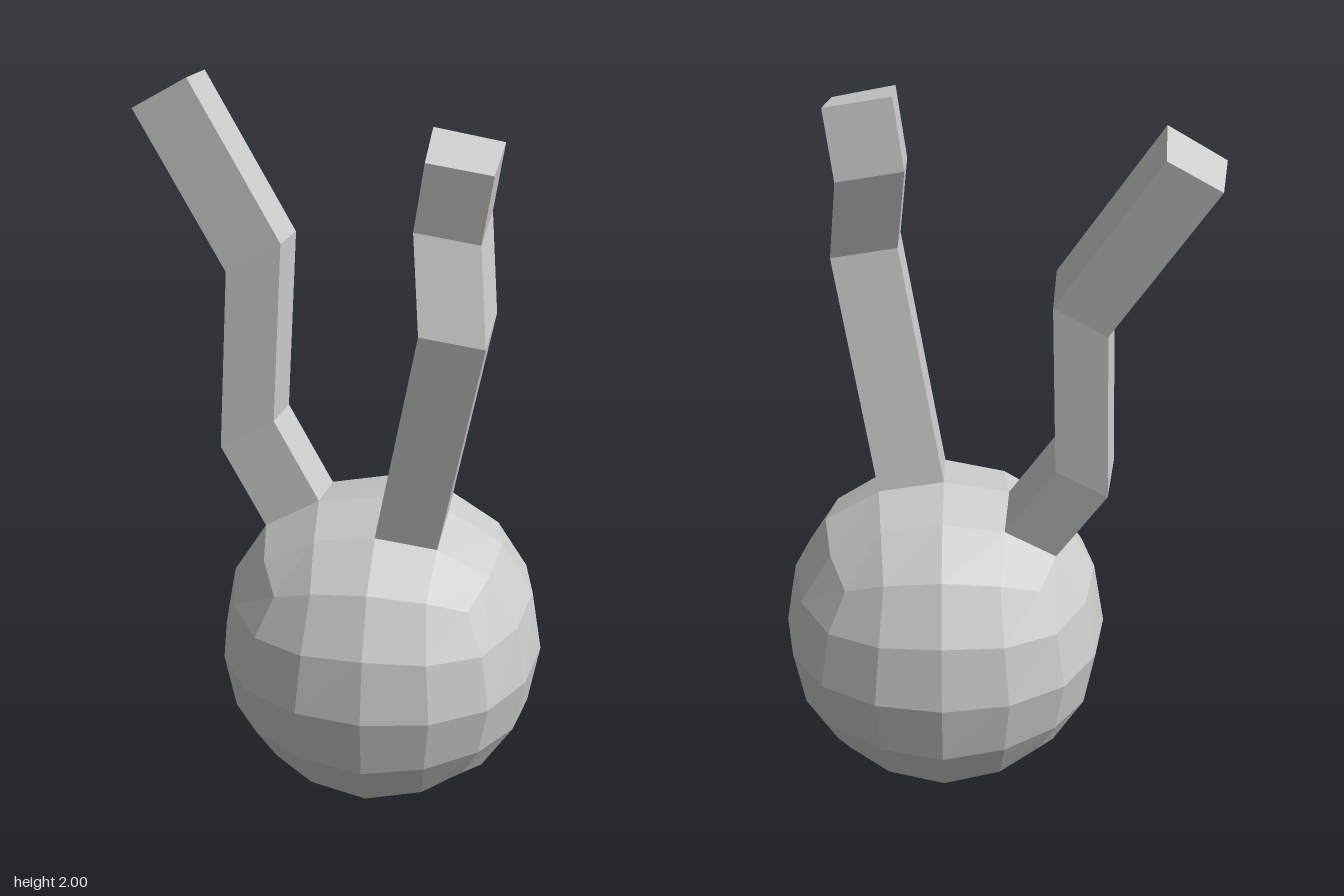
import * as THREE from 'three';

const CENTRE = new THREE.Vector3(0.125, 0.452, 0);

// Rounded-cube rule: sorted grid steps (0, 1, 2 from the middle) -> distance for each step
const ROUNDED = {
  '200': [0, 0, 0.45],
  '210': [0, 0.18, 0.42],
  '211': [0, 0.167, 0.391],
  '220': [0, 0, 0.33],
  '221': [0, 0.155, 0.307],
  '222': [0, 0, 0.261],
};

function roundedPoint(...steps) {
  const key = steps.map(Math.abs).sort((a, b) => b - a).join('');
  return new THREE.Vector3(...steps.map((s) => Math.sign(s) * ROUNDED[key][Math.abs(s)])).add(CENTRE);
}

// Ball: a cube of 4 x 4 faces per side, rounded by the rule above
function ballGeometry() {
  const geo = new THREE.BoxGeometry(4, 4, 4, 4, 4, 4);
  const pos = geo.attributes.position;
  for (let i = 0; i < pos.count; i++) {
    const p = roundedPoint(...[pos.getX(i), pos.getY(i), pos.getZ(i)].map(Math.round));
    pos.setXYZ(i, p.x, p.y, p.z);
  }
  const flat = geo.toNonIndexed();
  flat.computeVertexNormals();
  return flat;
}

// Stalk: one face of the ball, swept through a list of positions of its first corner
function stalkGeometry(face, path) {
  const n = face.length;
  const rings = [face, ...path.map((p) => {
    const shift = new THREE.Vector3(...p).sub(face[0]);
    return face.map((c) => c.clone().add(shift));
  })];
  const index = [];
  for (let r = 0; r < rings.length - 1; r++) {
    for (let i = 0; i < n; i++) {
      const a = r * n + i, b = r * n + (i + 1) % n;
      index.push(a, b, b + n, a, b + n, a + n);
    }
  }
  const t = (rings.length - 1) * n;
  index.push(t, t + 1, t + 2, t, t + 2, t + 3);
  const geo = new THREE.BufferGeometry().setFromPoints(rings.flat());
  geo.setIndex(index);
  const flat = geo.toNonIndexed();
  flat.computeVertexNormals();
  return flat;
}

export function createModel() {
  const group = new THREE.Group();
  const grey = new THREE.MeshStandardMaterial({ color: 0xcccccc, flatShading: true });
  grey.name = 'lightGrey';

  const add = (name, geometry) => {
    const mesh = new THREE.Mesh(geometry, grey);
    mesh.name = name;
    group.add(mesh);
  };

  add('ball', ballGeometry());

  // Front stalk, rising from the top of the ball
  add('leftStalk', stalkGeometry(
    [roundedPoint(0, 2, 0), roundedPoint(0, 2, 1), roundedPoint(1, 2, 1), roundedPoint(1, 2, 0)],
    [[0.243, 1.55, 0.115], [0.217, 1.794, 0.037], [0.245, 1.984, 0.065]],
  ));

  // Rear stalk, bending outwards
  add('rightStalk', stalkGeometry(
    [roundedPoint(-1, 2, 0), roundedPoint(-1, 2, -1), roundedPoint(-2, 2, -1), roundedPoint(-2, 2, 0)],
    [[-0.187, 1.085, -0.046], [-0.172, 1.583, -0.105], [-0.43, 2.0, -0.185]],
  ));

  return group;
}
